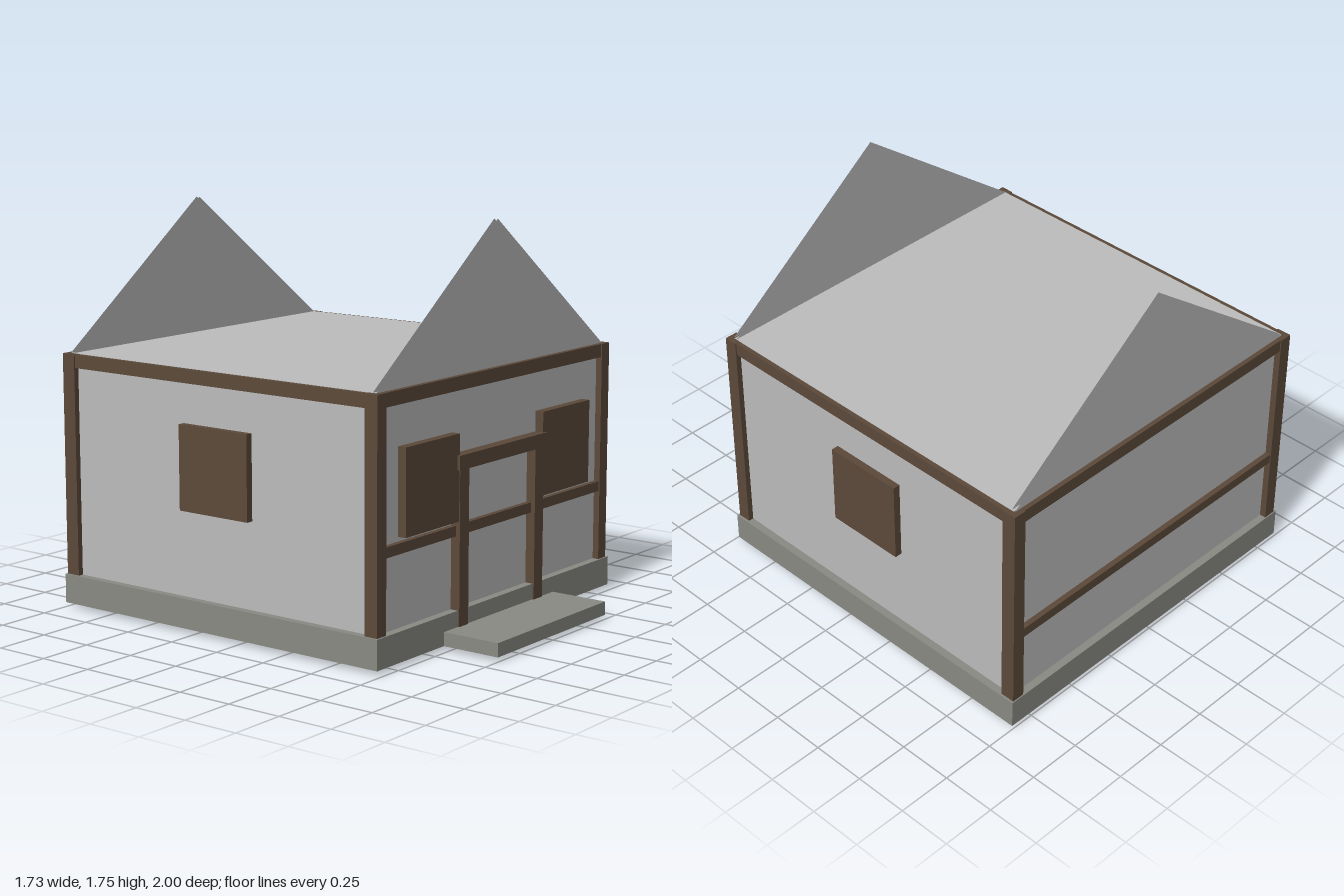
import * as THREE from 'three';

export function createModel() {
  const house = new THREE.Group();
  house.name = 'house';
  const plaster = new THREE.MeshStandardMaterial({ name: 'plaster', color: 0xbdbdbd, side: THREE.DoubleSide });
  const timber = new THREE.MeshStandardMaterial({ name: 'timber', color: 0x5c4a3a });
  const stone = new THREE.MeshStandardMaterial({ name: 'stone', color: 0x8a8b84 });

  // Box given by its extents on each axis
  const box = (name, material, [x0, x1], [y0, y1], [z0, z1]) => {
    const mesh = new THREE.Mesh(new THREE.BoxGeometry(x1 - x0, y1 - y0, z1 - z0), material);
    mesh.position.set((x0 + x1) / 2, (y0 + y1) / 2, (z0 + z1) / 2);
    mesh.name = name;
    house.add(mesh);
  };
  // Extent mirrored to the chosen side of x = 0
  const side = (s, a, b) => (s > 0 ? [a, b] : [-b, -a]);

  // Foundation, step and walls
  box('foundation', stone, [-0.865, 0.865], [0.02, 0.15], [-1, 0.73]);
  box('doorStep', stone, [-0.41, 0.41], [0.02, 0.08], [0.73, 1]);
  box('walls', plaster, [-0.83, 0.83], [0.022, 1.136], [-0.965, 0.693]);

  // Front and back beams and rails
  for (const [end, z] of [['front', [0.66, 0.717]], ['back', [-0.99, -0.93]]]) {
    box(end + 'TopBeam', timber, [-0.85, 0.85], [1.075, 1.134], z);
    box(end + 'MiddleRail', timber, [-0.8, 0.8], [0.465, 0.51], z);
  }

  for (const s of [1, -1]) {
    const label = s > 0 ? 'left' : 'right';
    // Corner posts and side beam
    box(label + 'FrontPost', timber, side(s, 0.795, 0.855), [0.15, 1.135], [0.66, 0.722]);
    box(label + 'BackPost', timber, side(s, 0.795, 0.855), [0.15, 1.135], [-0.995, -0.928]);
    box(label + 'TopBeam', timber, side(s, 0.795, 0.85), [1.075, 1.134], [-0.97, 0.7]);
    // Shutters
    box(label + 'FrontShutter', timber, side(s, 0.31, 0.68), [0.53, 0.9], [0.685, 0.733]);
    box(label + 'SideShutter', timber, side(s, 0.82, 0.863), [0.53, 0.9], [-0.317, 0.055]);
    // Door frame
    box(label + 'DoorPost', timber, side(s, 0.247, 0.312), [0, 0.75], [0.685, 0.737]);
  }
  box('doorLintel', timber, [-0.327, 0.327], [0.748, 0.81], [0.68, 0.745]);

  // Open gables: two thin triangular sheets at each end
  const triangle = new THREE.Shape([[-0.83, 0], [0.83, 0], [0, 0.62]].map(p => new THREE.Vector2(...p)));
  const sheet = new THREE.ShapeGeometry(triangle);
  for (const [name, z] of [['frontGable', 0.698], ['frontGable', 0.68], ['backGable', -0.952], ['backGable', -0.97]]) {
    const gable = new THREE.Mesh(sheet, plaster);
    gable.position.set(0, 1.135, z);
    gable.name = name;
    house.add(gable);
  }
  return house;
}
